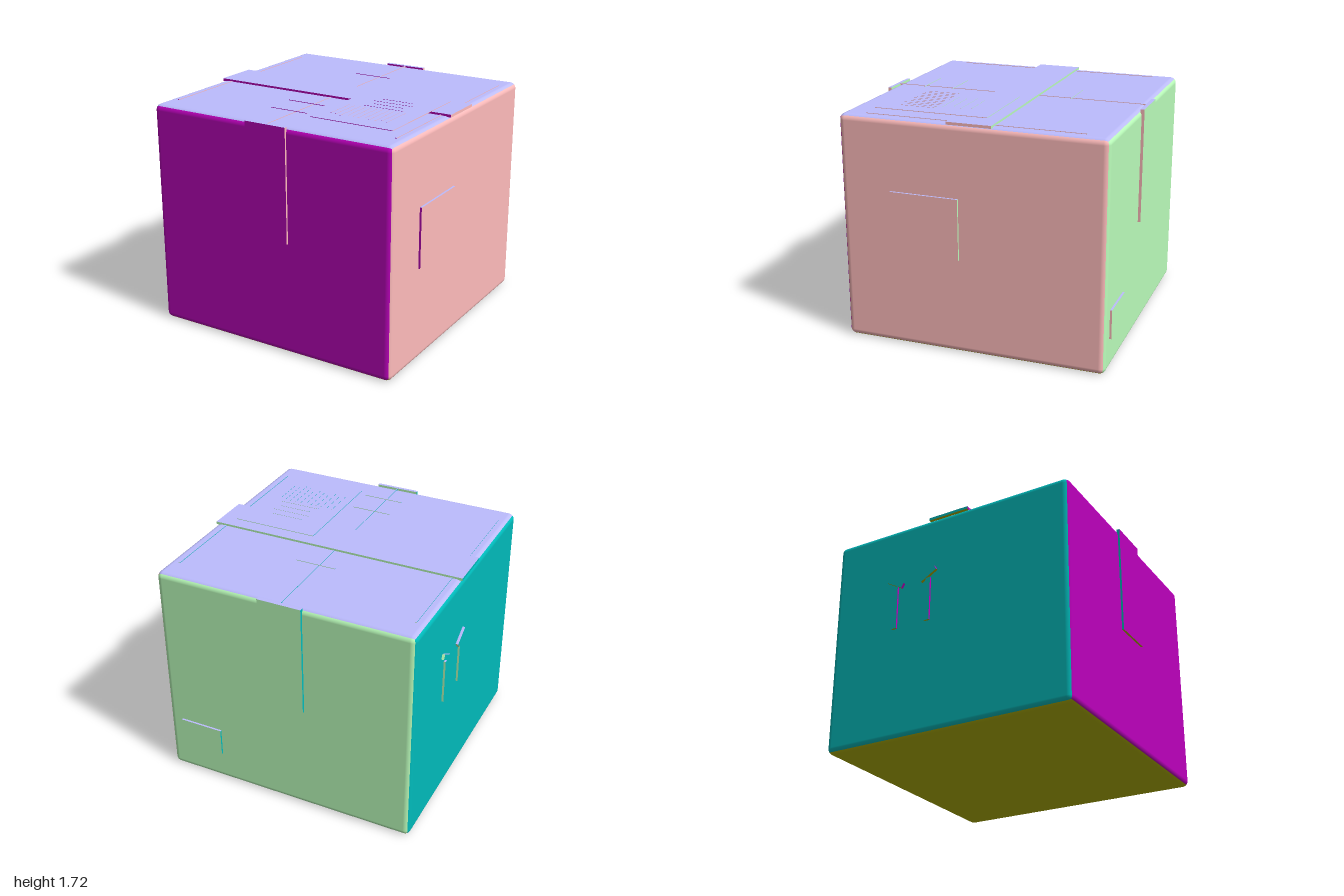
import * as THREE from 'three';
import { RoundedBoxGeometry } from 'three/addons/geometries/RoundedBoxGeometry.js';

// One colour per facing direction: +x, -x, +y, -y, +z, -z
const faceMaterials = [0xffbcbc, 0x00bcbc, 0xbcbcff, 0xbcbc00, 0xbc00bc, 0xbcffbc]
  .map((color) => new THREE.MeshStandardMaterial({ color }));

// Box given by its [min, max] range on each axis
function slab(parent, name, [x0, x1], [y0, y1], [z0, z1]) {
  const mesh = new THREE.Mesh(new THREE.BoxGeometry(x1 - x0, y1 - y0, z1 - z0), faceMaterials);
  mesh.position.set((x0 + x1) / 2, (y0 + y1) / 2, (z0 + z1) / 2);
  mesh.name = name;
  parent.add(mesh);
  return mesh;
}

export function createModel() {
  const model = new THREE.Group();
  model.name = 'cardboardBox';
  const top = 1.685;
  const side = 0.98;

  // Carton with softly rounded edges
  const carton = new THREE.Mesh(new RoundedBoxGeometry(2 * side, top, 2 * side, 4, 0.045), faceMaterials);
  carton.position.y = top / 2;
  carton.name = 'carton';
  model.add(carton);

  // Packing tape across the top and down the front and back
  slab(model, 'topTape', [-side, side], [top - 0.005, 1.7], [-0.165, 0.165]);
  slab(model, 'frontTape', [-0.165, 0.165], [0.85, 1.69], [0.97, 0.995]);
  slab(model, 'backTape', [-0.165, 0.165], [0.85, 1.69], [-1, -0.97]);

  // Flap seam and the fold creases beside it
  slab(model, 'flapSeam', [-0.004, 0.004], [top - 0.02, top + 0.004], [-side, side]);
  for (const s of [-1, 1]) {
    slab(model, 'flapCrease', [s * 0.9 - 0.006, s * 0.9 + 0.006], [top - 0.01, top + 0.004], [-0.8, 0.8]);
  }

  // Short marks crossing the seam
  for (const z of [-0.45, 0.475, 0.7]) {
    slab(model, 'seamMark', [-0.15, 0.15], [1.715, 1.719], [z - 0.003, z + 0.003]);
  }

  // Shipping label with printed lines and bars
  const label = new THREE.Group();
  label.name = 'shippingLabel';
  model.add(label);
  slab(label, 'labelSheet', [0.21, 0.85], [1.714, 1.718], [-0.085, 0.755]);
  [0.12, 0.16, 0.12, 0.16].forEach((half, i) => {
    const z = 0.11 + i * 0.07;
    slab(label, 'printedLine', [0.53 - half, 0.53 + half], [1.717, 1.72], [z - 0.003, z + 0.003]);
  });
  for (let i = 0; i < 11; i++) {
    const x = 0.28 + i * 0.0445;
    const end = 0.6 + 0.015 * (i % 3);
    slab(label, 'printedBar', [x - 0.004, x + 0.004], [1.717, 1.72], [0.36, end]);
  }

  // Plain stickers on the right-hand and back walls
  slab(model, 'sideSticker', [0.97, 0.995], [0.71, 1.16], [0.085, 0.595]);
  slab(model, 'backSticker', [0.535, 0.87], [0.235, 0.45], [-0.995, -0.97]);

  // Two upright marks with tilted heads on the other wall
  for (const [z, tilt] of [[-0.43, 1], [-0.15, -1]]) {
    slab(model, 'uprightShaft', [-0.995, -0.97], [0.85, 1.19], [z - 0.02, z + 0.02]);
    const head = slab(model, 'uprightHead', [-1, -0.97], [1.2, 1.24], [z - 0.073, z + 0.073]);
    head.rotation.x = tilt * Math.PI / 6;
  }
  return model;
}
